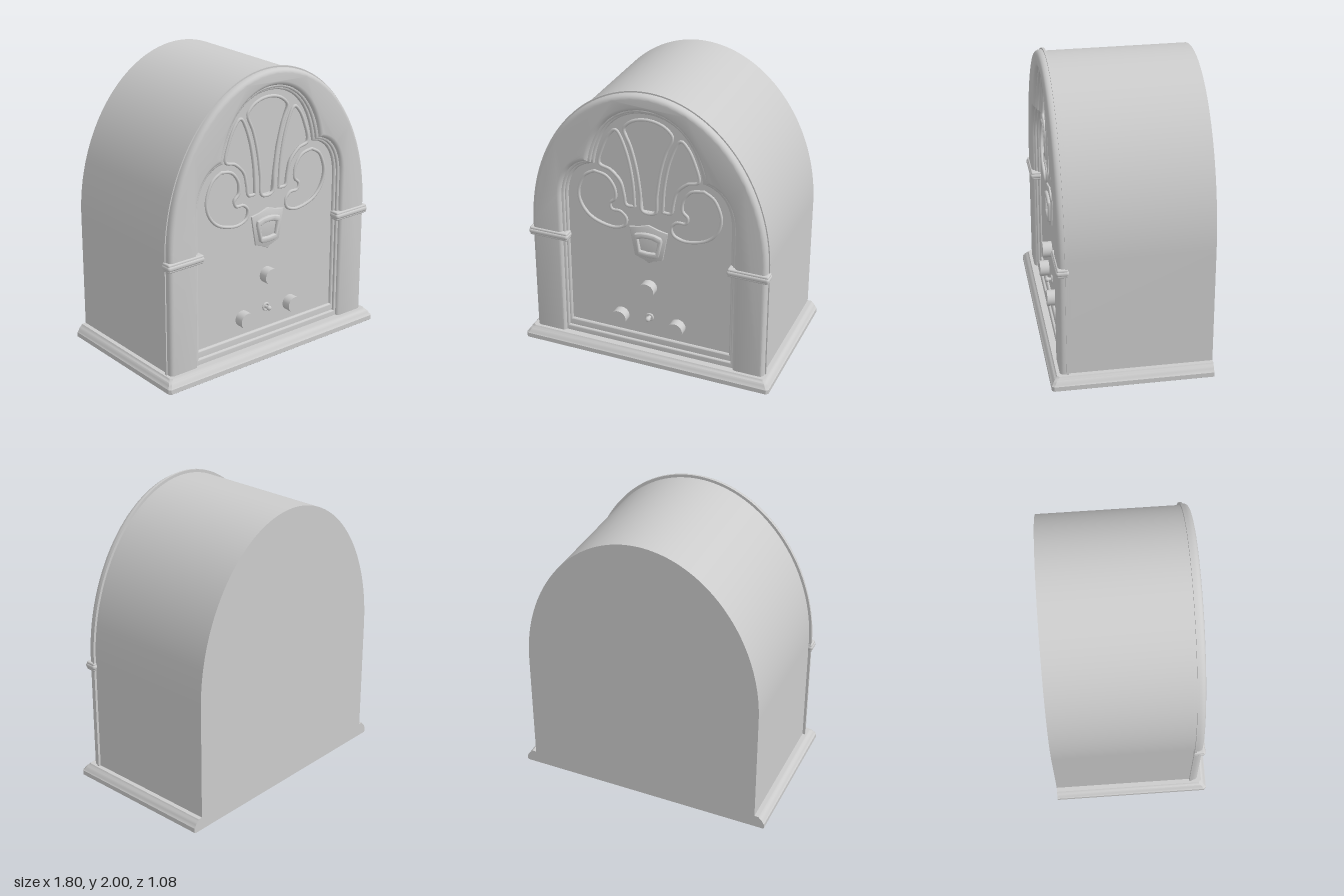
import * as THREE from 'three';
import { toCreasedNormals } from 'three/addons/utils/BufferGeometryUtils.js';
import { RoundedBoxGeometry } from 'three/addons/geometries/RoundedBoxGeometry.js';

const grey = new THREE.MeshStandardMaterial({ color: 0xcccccc });
const V = (x, y) => new THREE.Vector2(x, y);

function add(group, name, geometry, x = 0, y = 0, z = 0) {
  const mesh = new THREE.Mesh(geometry, grey);
  mesh.name = name;
  mesh.position.set(x, y, z);
  group.add(mesh);
  return mesh;
}

// Right half (bottom to top) mirrored into a closed outline
function mirrored(half) {
  const left = half.slice().reverse().filter((p) => p.x > 1e-4).map((p) => V(-p.x, p.y));
  return half.concat(left);
}

// Straight sides with an elliptical arch
function archOutline(w, bottom, top, spring = 0.9, steps = 40) {
  const half = [V(w, bottom)];
  for (let i = 0; i <= steps; i++) {
    const a = (i / steps) * Math.PI / 2;
    half.push(V(w * Math.cos(a), spring + (top - spring) * Math.sin(a)));
  }
  return half;
}

// Cusped opening: shoulders below, tall lobe above; d insets it
function openingHalf(d, bottom) {
  const path = new THREE.Path();
  path.moveTo(0.615 - d, bottom);
  path.lineTo(0.615 - d, 1.14);
  path.bezierCurveTo(0.615 - d, 1.31, 0.54 - d, 1.43 - d * 0.6, 0.415 - d, 1.45 - d * 0.6);
  path.bezierCurveTo(0.375 - d, 1.7, 0.22 - d * 0.5, 1.88 - d, 0, 1.88 - d);
  return path.getPoints(24);
}

// Extrusion between z0 and z1 with a bevelled front edge and flat back
function slab(points, holes, z0, z1, bevel = 0, thick = bevel) {
  const shape = new THREE.Shape(points);
  shape.holes = holes.map((h) => new THREE.Path(h));
  const geo = new THREE.ExtrudeGeometry(shape, {
    depth: z1 - z0 - thick, bevelEnabled: bevel > 0, bevelSize: bevel,
    bevelThickness: thick, bevelOffset: -bevel, bevelSegments: 4,
  });
  geo.translate(0, 0, z0);
  const p = geo.attributes.position;
  for (let i = 0; i < p.count; i++) p.setZ(i, Math.max(p.getZ(i), z0));
  return toCreasedNormals(geo, 0.6);
}

// Stepped plinth: insets on the front and sides, flat at the back
function plinth() {
  const levels = [[0.008, 0], [0, 0.006], [0, 0.038], [0.008, 0.046], [0.014, 0.06],
    [0.024, 0.072], [0.034, 0.08], [0.04, 0.09]];
  const c = 0.015, pos = [], idx = [];
  for (const [i, y] of levels) {
    const x = 0.9 - i, f = 0.54 - i;
    pos.push(x, y, -0.54, -x, y, -0.54, -x, y, f - c, -x + c, y, f, x - c, y, f, x, y, f - c);
  }
  const n = 6, last = (levels.length - 1) * n;
  for (let l = 0; l < levels.length - 1; l++) {
    for (let k = 0; k < n; k++) {
      const a = l * n + k, b = l * n + (k + 1) % n;
      idx.push(a, b, b + n, a, b + n, a + n);
    }
  }
  for (let k = 1; k < n - 1; k++) {
    idx.push(0, k + 1, k, last, last + k, last + k + 1);
  }
  const geo = new THREE.BufferGeometry();
  geo.setAttribute('position', new THREE.Float32BufferAttribute(pos, 3));
  // Wind all faces outward
  for (let t = 0; t < idx.length; t += 3) {
    const [a, b, d] = [0, 1, 2].map((k) => new THREE.Vector3().fromArray(pos, idx[t + k] * 3));
    const normal = b.clone().sub(a).cross(d.clone().sub(a));
    if (normal.dot(a.add(b).add(d).divideScalar(3).sub(new THREE.Vector3(0, 0.045, 0))) < 0) {
      [idx[t + 1], idx[t + 2]] = [idx[t + 2], idx[t + 1]];
    }
  }
  geo.setIndex(idx);
  return toCreasedNormals(geo, 0.5);
}

const smoothLoop = (pts, n = 60) =>
  new THREE.SplineCurve([...pts, pts[0]].map(([x, y]) => V(x, y))).getPoints(n).slice(0, -1);

export function createModel() {
  const model = new THREE.Group();
  model.name = 'tableRadio';

  add(model, 'base', plinth());

  // Cabinet
  const cabinet = mirrored(archOutline(0.83, 0.06, 1.98));
  add(model, 'cabinet', slab(cabinet, [], -0.54, 0.4));

  // Grille openings: central fan, leaves and scrolls
  const fan = mirrored([V(0.045, 1.14), V(0.06, 1.28), V(0.085, 1.45), V(0.125, 1.6),
    V(0.168, 1.7), V(0.165, 1.725), V(0.12, 1.77), V(0.06, 1.795), V(0, 1.802)]);
  const leaf = smoothLoop([[0.1, 1.16], [0.112, 1.35], [0.15, 1.54], [0.215, 1.69], [0.27, 1.66],
    [0.32, 1.56], [0.35, 1.435], [0.27, 1.4], [0.2, 1.33], [0.175, 1.24], [0.16, 1.165]]);
  const scroll = smoothLoop([[0.386, 1.37], [0.46, 1.32], [0.505, 1.2], [0.48, 1.09], [0.4, 1.01],
    [0.27, 0.975], [0.18, 1.0], [0.16, 1.06], [0.2, 1.105], [0.26, 1.11], [0.275, 1.155],
    [0.237, 1.2], [0.245, 1.28], [0.3, 1.35]]);
  const flip = (pts) => pts.map((p) => V(-p.x, p.y)).reverse();
  const openings = [fan, leaf, flip(leaf), scroll, flip(scroll)];
  add(model, 'frontPanel', slab(cabinet, openings, 0.4, 0.42));

  // Raised beads around the openings
  for (const pts of openings) {
    const curve = new THREE.CatmullRomCurve3(
      pts.map((p) => new THREE.Vector3(p.x, p.y, 0.42)), true, 'centripetal');
    add(model, 'grilleBead', new THREE.TubeGeometry(curve, 110, 0.011, 8, true));
  }

  // Front arch: thin lip, rounded frame, inner stepped moulding
  const frameOutline = (w, top, d) => [
    ...archOutline(w, 0.05, top), ...flip(archOutline(w, 0.05, top)).slice(1),
    ...mirrored(openingHalf(d, 0.05)).reverse(),
  ];
  add(model, 'frameLip', slab(frameOutline(0.848, 2.0, 0.005), [], 0.42, 0.435));
  add(model, 'frontFrame', slab(frameOutline(0.84, 1.99, 0), [], 0.42, 0.478, 0.028, 0.035));
  add(model, 'outerMoulding', slab(mirrored(openingHalf(-0.02, 0.06)),
    [mirrored(openingHalf(0.016, 0.13))], 0.42, 0.455, 0.01));
  add(model, 'innerMoulding', slab(mirrored(openingHalf(-0.01, 0.07)),
    [mirrored(openingHalf(0.034, 0.18))], 0.42, 0.438, 0.012));

  // Pillar bands
  for (const s of [1, -1]) {
    add(model, 'pillarBand', new RoundedBoxGeometry(0.29, 0.036, 0.085, 4, 0.016), s * 0.715, 0.85, 0.4525);
    add(model, 'pillarBandCollar', new RoundedBoxGeometry(0.28, 0.06, 0.072, 3, 0.01), s * 0.715, 0.85, 0.452);
  }

  // Dial shield with bezel
  const shield = mirrored([V(0, 0.757), V(0.03, 0.775), V(0.1, 0.8), V(0.118, 0.9),
    V(0.137, 1.01), V(0.07, 1.022), V(0, 1.045)]);
  add(model, 'dialPlate', slab(shield, [], 0.42, 0.432, 0.004));
  const bezel = mirrored([V(0, 0.805), V(0.055, 0.808), V(0.075, 0.825), V(0.102, 0.945),
    V(0.095, 0.97), V(0.05, 0.985), V(0, 0.99)]);
  const dialWindow = mirrored([V(0, 0.845), V(0.055, 0.85), V(0.07, 0.935), V(0.035, 0.946), V(0, 0.95)]);
  add(model, 'dialBezel', slab(bezel, [dialWindow], 0.43, 0.452, 0.012));

  // Control knobs and small switch
  const disc = (r, h) => new THREE.CylinderGeometry(r, r, h, 40).rotateX(Math.PI / 2);
  for (const [x, y] of [[0, 0.565], [0.207, 0.3], [-0.207, 0.3]]) {
    add(model, 'knob', disc(0.055, 0.07), x, y, 0.45);
  }
  add(model, 'switchCollar', new THREE.TorusGeometry(0.023, 0.008, 10, 32), 0, 0.325, 0.422);
  add(model, 'switchStem', disc(0.012, 0.04), 0, 0.325, 0.435);
  add(model, 'switchTip', new THREE.SphereGeometry(0.017, 20, 14), 0, 0.325, 0.455);

  return model;
}
